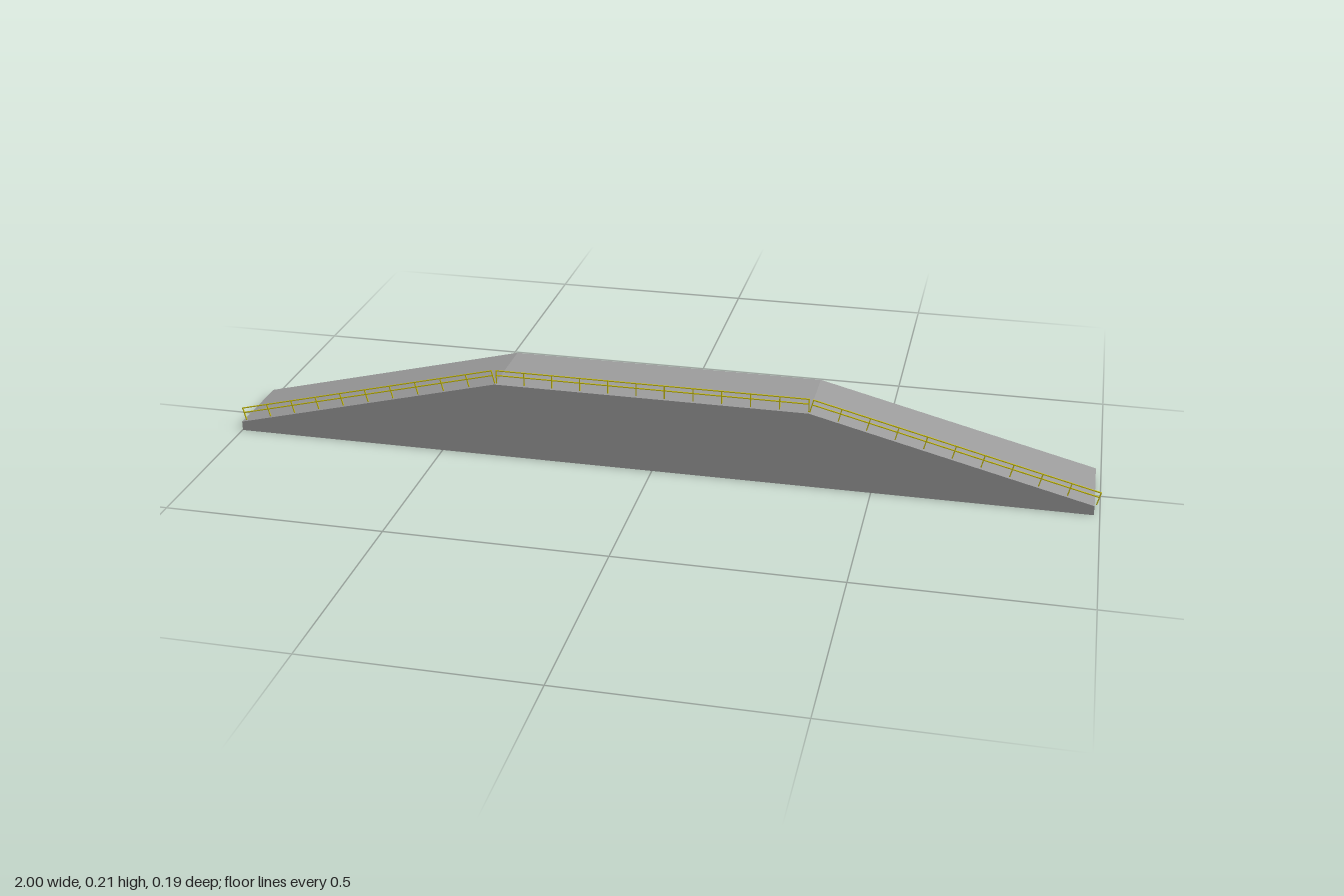
import * as THREE from 'three';

const grey = new THREE.MeshStandardMaterial({ color: 0x9d9d9d, flatShading: true });
const yellow = new THREE.MeshStandardMaterial({ color: 0xd0c410, flatShading: true });

const WIDTH = 0.188, RAIL_Z = 0.085, RAIL_H = 0.032, BAR = 0.0024;

function bar(name, w, h, x, y) {
  const mesh = new THREE.Mesh(new THREE.BoxGeometry(w, h, BAR), yellow);
  mesh.name = name;
  mesh.position.set(x, y, 0);
  return mesh;
}

// One straight railing run, tilted to follow the deck from a to b
function railing(name, a, b, bays) {
  const run = new THREE.Group();
  run.name = name;
  const length = Math.hypot(b[0] - a[0], b[1] - a[1]);
  for (const y of [RAIL_H - BAR / 2, RAIL_H * 0.6]) {
    run.add(bar('handrail', length, BAR, length / 2, y));
  }
  for (let i = 0; i <= bays; i++) {
    const x = BAR / 2 + (i / bays) * (length - BAR);
    run.add(bar('railPost', BAR, RAIL_H, x, RAIL_H / 2));
  }
  run.position.set(a[0], a[1], RAIL_Z);
  run.rotation.z = Math.atan2(b[1] - a[1], b[0] - a[0]);
  return run;
}

export function createModel() {
  const model = new THREE.Group();
  model.name = 'rampedPlatform';

  // Solid platform with a ramp at each end
  const profile = new THREE.Shape([
    [-0.999, 0], [0.987, 0], [0.987, 0.022], [0.355, 0.18], [-0.368, 0.18], [-0.999, 0.022],
  ].map(([x, y]) => new THREE.Vector2(x, y)));
  const geometry = new THREE.ExtrudeGeometry(profile, { depth: WIDTH, bevelEnabled: false });
  geometry.translate(0, 0, -WIDTH / 2);
  const platform = new THREE.Mesh(geometry, grey);
  platform.name = 'platform';
  model.add(platform);

  // Railings along the front edge
  model.add(
    railing('leftRampRailing', [0.355, 0.18], [0.992, 0.021], 10),
    railing('deckRailing', [-0.366, 0.18], [0.355, 0.18], 11),
    railing('rightRampRailing', [-0.992, 0.0235], [-0.368, 0.18], 10),
  );
  return model;
}
